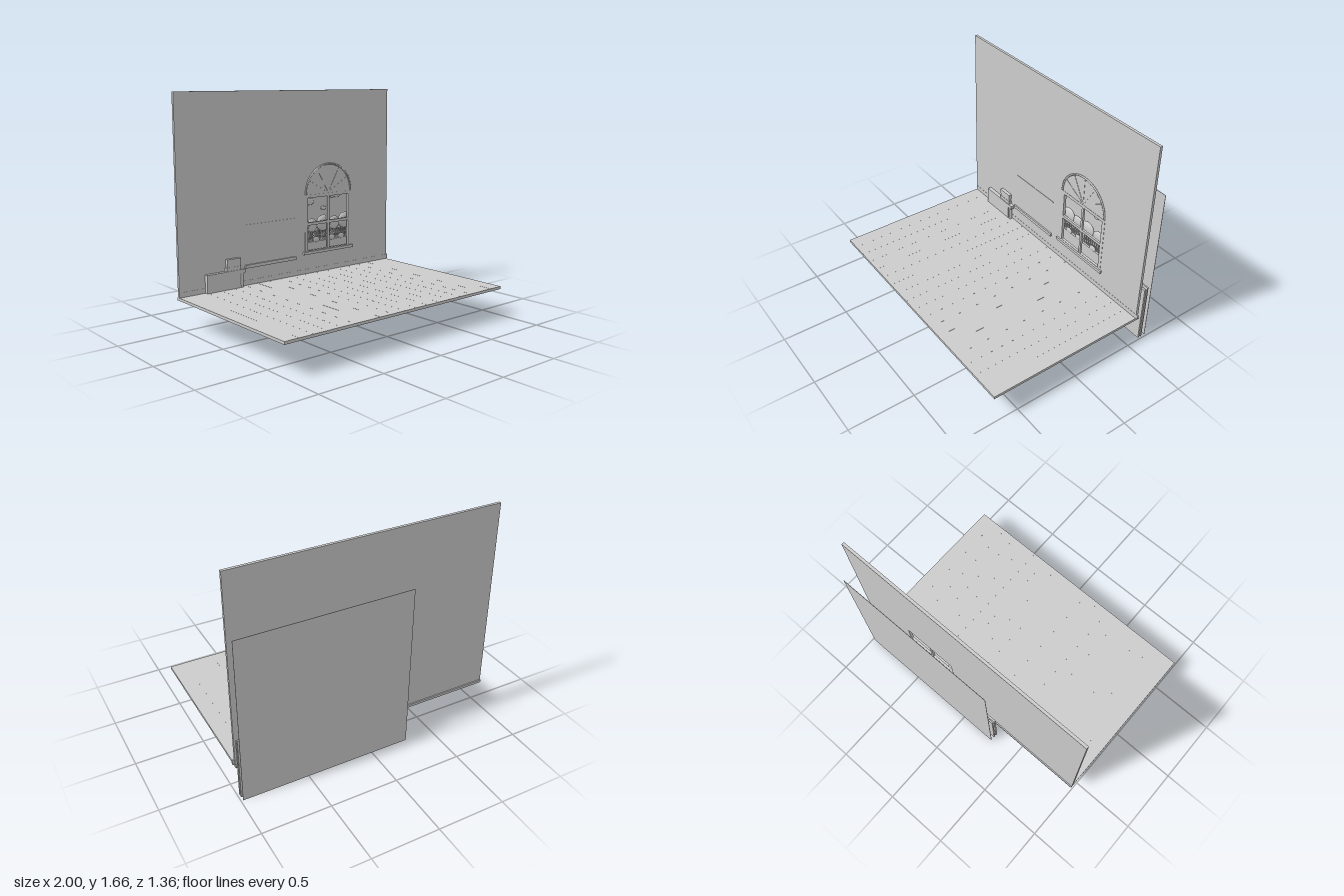
import * as THREE from 'three';

export function createModel() {
  const model = new THREE.Group();
  const grey = new THREE.MeshStandardMaterial({ color: 0xcccccc });
  grey.name = 'plainGrey';

  const add = (name, geometry, parent = model) => {
    const mesh = new THREE.Mesh(geometry, grey);
    mesh.name = name;
    parent.add(mesh);
    return mesh;
  };
  // Box given by its limits on each axis
  const box = (name, x0, x1, y0, y1, z0, z1, parent) => {
    const mesh = add(name, new THREE.BoxGeometry(x1 - x0, y1 - y0, z1 - z0), parent);
    mesh.position.set((x0 + x1) / 2, (y0 + y1) / 2, (z0 + z1) / 2);
    return mesh;
  };
  const blobGeometry = new THREE.SphereGeometry(1, 24, 16);
  const blob = (name, x, y, z, rx, ry, rz, parent) => {
    const mesh = add(name, blobGeometry, parent);
    mesh.position.set(x, y, z);
    mesh.scale.set(rx, ry, rz);
  };
  const group = (name) => {
    const g = new THREE.Group();
    g.name = name;
    model.add(g);
    return g;
  };

  // Floor with plank seams
  box('floor', -1, 0.985, 0.205, 0.225, -0.589, 0.68);
  const seams = group('floorSeams');
  for (let i = 1; i < 18; i++) {
    const x = -1 + i * 0.11;
    box('floorSeam', x - 0.001, x + 0.001, 0.224, 0.2253, -0.56, 0.68, seams);
  }

  // Wall with a rectangular window opening
  const wallShape = new THREE.Shape();
  wallShape.moveTo(-1, 0.215).lineTo(0.985, 0.215).lineTo(0.985, 1.66).lineTo(-1, 1.66).closePath();
  const hole = new THREE.Path();
  hole.moveTo(0.143, 0.405).lineTo(0.143, 0.825).lineTo(0.557, 0.825).lineTo(0.557, 0.405).closePath();
  wallShape.holes.push(hole);
  const wall = add('wall', new THREE.ExtrudeGeometry(wallShape, { depth: 0.02, bevelEnabled: false }));
  wall.position.z = -0.58;
  box('baseboard', -1, 1, 0.225, 0.262, -0.57, -0.5585);

  // Window: frame, bars, sill and fanlight
  const win = group('window');
  for (const x of [0.115, 0.557]) box('windowJamb', x, x + 0.028, 0.4, 0.85, -0.57, -0.558, win);
  box('windowHead', 0.115, 0.585, 0.825, 0.85, -0.57, -0.558, win);
  box('windowPost', 0.341, 0.359, 0.405, 0.825, -0.575, -0.558, win);
  box('windowRail', 0.143, 0.557, 0.608, 0.63, -0.575, -0.558, win);
  box('windowSill', 0.095, 0.6, 0.38, 0.402, -0.57, -0.545, win);
  const fan = add('fanlight', new THREE.CircleGeometry(0.23, 40, 0, Math.PI), win);
  fan.position.set(0.35, 0.855, -0.5585);
  const arch = add('fanlightArch', new THREE.TorusGeometry(0.228, 0.007, 8, 48, Math.PI), win);
  arch.position.set(0.35, 0.855, -0.556);
  for (let i = 1; i < 6; i++) {
    const a = (i * Math.PI) / 6;
    const ray = add('fanlightBar', new THREE.BoxGeometry(0.22, 0.006, 0.003), win);
    ray.position.set(0.35 + Math.cos(a) * 0.115, 0.855 + Math.sin(a) * 0.115, -0.558);
    ray.rotation.z = a;
  }

  // Cabinet with a top, round leg and stacked boxes
  const cabinet = group('cabinet');
  box('cabinetBody', -0.79, -0.505, 0.204, 0.36, -0.565, -0.53, cabinet);
  box('cabinetTop', -0.505, -0.465, 0.332, 0.36, -0.565, -0.53, cabinet);
  const leg = add('cabinetLeg', new THREE.CylinderGeometry(0.013, 0.013, 0.152, 16), cabinet);
  leg.position.set(-0.49, 0.256, -0.543);
  box('lowerBook', -0.622, -0.5, 0.36, 0.388, -0.562, -0.535, cabinet);
  box('middleBook', -0.615, -0.505, 0.388, 0.412, -0.562, -0.537, cabinet);
  box('upperBook', -0.618, -0.502, 0.412, 0.448, -0.562, -0.533, cabinet);

  // Low shelf and thin wall rail
  box('shelf', -0.45, 0.022, 0.355, 0.38, -0.562, -0.548);
  box('wallRail', -0.44, 0.022, 0.675, 0.682, -0.562, -0.557);

  // Outdoor backdrop, lawn panels and fence
  box('skyBackdrop', -0.285, 0.985, 0, 1.25, -0.68, -0.677);
  box('frontLawn', -0.285, 0.985, 0, 0.46, -0.628, -0.613);
  box('backLawn', -0.285, 0.985, 0, 0.475, -0.648, -0.637);
  const fence = group('fence');
  for (let x = 0.09; x < 0.62; x += 0.022) {
    box('fencePicket', x - 0.006, x + 0.006, 0.45, 0.54, -0.634, -0.629, fence);
  }
  box('fenceRail', 0.08, 0.62, 0.5, 0.508, -0.636, -0.634, fence);

  // Hill, trees, bushes and clouds
  blob('hill', 0.32, 0.36, -0.6625, 0.54, 0.14, 0.0165);
  const trees = group('trees');
  for (const x of [0.135, 0.35, 0.575]) {
    blob('treeCrown', x, 0.6, -0.625, 0.07, 0.065, 0.024, trees);
  }
  for (const x of [0.235, 0.465]) {
    blob('treeCrown', x, 0.59, -0.63, 0.055, 0.055, 0.018, trees);
  }
  for (let i = 0; i < 7; i++) {
    blob('farBush', 0.09 + i * 0.09, 0.552, -0.652, 0.05, 0.03, 0.012, trees);
  }
  for (const x of [0.16, 0.27, 0.43, 0.53]) {
    blob('nearBush', x, 0.475, -0.616, 0.035, 0.022, 0.009, trees);
  }
  const clouds = group('clouds');
  for (const [x, y, rx, ry] of [
    [0.2, 0.78, 0.045, 0.033], [0.245, 0.775, 0.045, 0.028], [0.17, 0.772, 0.025, 0.02],
    [0.48, 0.81, 0.035, 0.022], [0.53, 0.812, 0.04, 0.026], [0.388, 0.712, 0.03, 0.016],
  ]) blob('cloud', x, y, -0.668, rx, ry, 0.008, clouds);

  return model;
}
